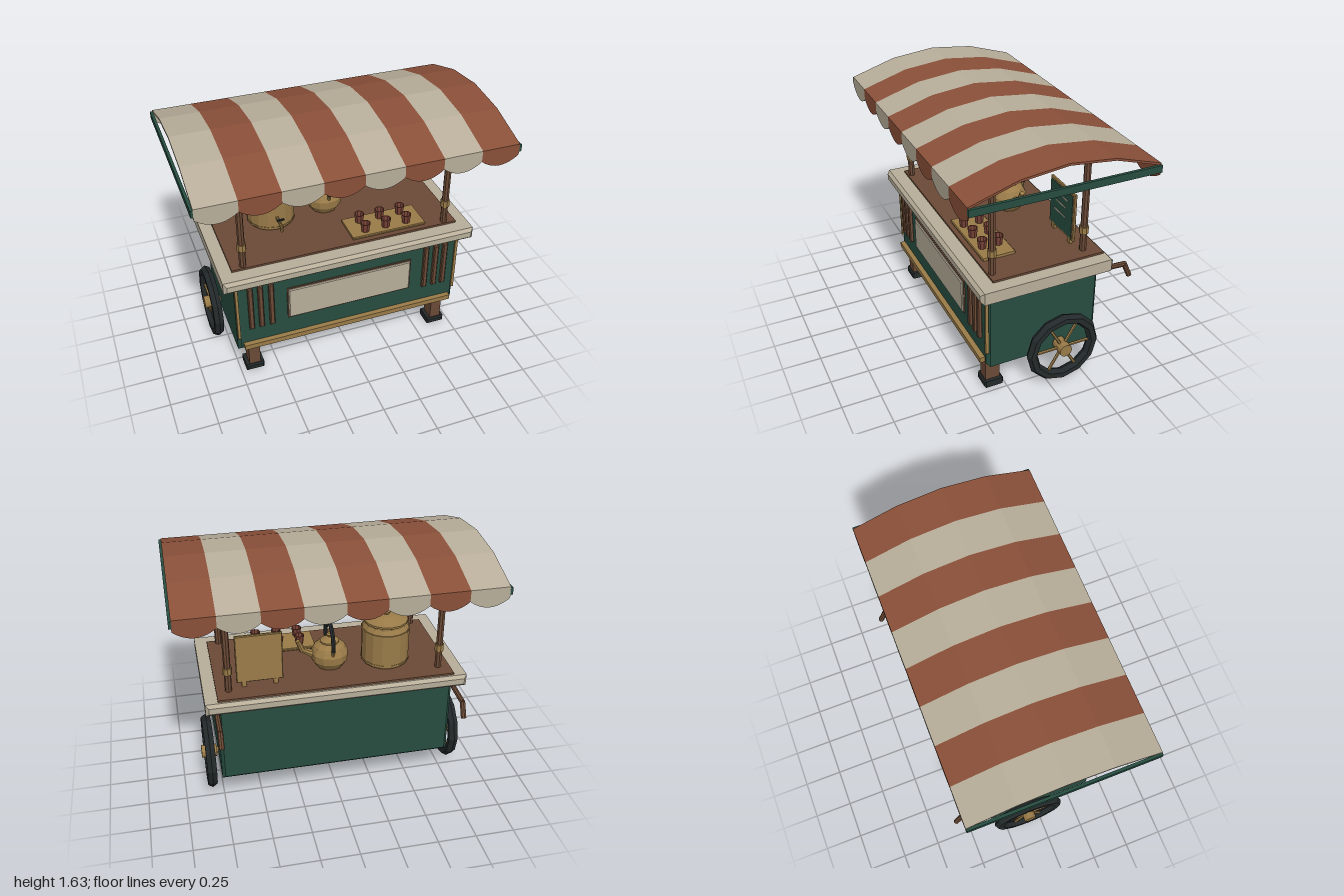
import * as THREE from 'three';

const mat = (color, side = THREE.FrontSide) => new THREE.MeshStandardMaterial({ color, flatShading: true, side });
const GREEN = mat(0x274d41), CREAM = mat(0xb8ae9a), RED = mat(0x8a5039), WOOD = mat(0x6b4a36);
const BRASS = mat(0x9a7b48), BLACK = mat(0x23292a), CUP = mat(0x7a4438, THREE.DoubleSide);

export function createModel() {
  const cart = new THREE.Group();
  cart.name = 'teaCart';

  const add = (name, geo, material, x = 0, y = 0, z = 0, parent = cart) => {
    const m = new THREE.Mesh(geo, material);
    m.name = name;
    m.position.set(x, y, z);
    parent.add(m);
    return m;
  };
  const group = (name, x, y, z) => {
    const g = new THREE.Group();
    g.name = name;
    g.position.set(x, y, z);
    cart.add(g);
    return g;
  };
  const box = (w, h, d) => new THREE.BoxGeometry(w, h, d);
  const cyl = (rt, rb, h, n = 8) => new THREE.CylinderGeometry(rt, rb, h, n);
  const lathe = (pts, n) => new THREE.LatheGeometry(pts.map(p => new THREE.Vector2(...p)), n);
  // Box with single chamfered edges, centred on the origin
  const bevelBox = (w, h, d, b) => {
    const x = w / 2 - b, y = h / 2 - b;
    const s = new THREE.Shape([[-x, -y], [x, -y], [x, y], [-x, y]].map(p => new THREE.Vector2(...p)));
    return new THREE.ExtrudeGeometry(s, { depth: d - 2 * b, bevelThickness: b, bevelSize: b, bevelSegments: 1 })
      .translate(0, 0, b - d / 2);
  };
  // Straight rod between two points
  const rod = (name, a, b, ra, rb, material, parent = cart, n = 8) => {
    const A = new THREE.Vector3(...a), B = new THREE.Vector3(...b);
    const dir = B.clone().sub(A);
    const m = add(name, cyl(rb, ra, dir.length(), n), material, 0, 0, 0, parent);
    m.position.copy(A).add(B).multiplyScalar(0.5);
    m.quaternion.setFromUnitVectors(new THREE.Vector3(0, 1, 0), dir.normalize());
    return m;
  };

  // Body and counter
  add('body', bevelBox(1.52, 0.56, 0.75, 0.02), GREEN, 0, 0.485, 0.015);
  add('counter', bevelBox(1.67, 0.08, 0.88, 0.02), CREAM, 0, 0.783, 0.018);
  add('counterInlay', box(1.51, 0.016, 0.74), WOOD, 0, 0.828, -0.02);

  // Front decoration
  add('frontPanelFrame', box(0.85, 0.24, 0.02), WOOD, 0, 0.515, 0.388);
  add('frontPanel', bevelBox(0.835, 0.225, 0.03, 0.006), CREAM, 0, 0.515, 0.394);
  add('bottomTrim', box(1.45, 0.035, 0.04), BRASS, 0, 0.247, 0.404);
  for (const s of [-1, 1]) {
    for (const x of [0.53, 0.6, 0.665]) add('slat', bevelBox(0.032, 0.325, 0.03, 0.006), WOOD, s * x, 0.547, 0.4);
    add('cornerTrim', box(0.018, 0.41, 0.02), BRASS, s * 0.75, 0.52, 0.39);
  }

  for (const s of [-1, 1]) {
    // Front legs and feet
    add('leg', box(0.075, 0.18, 0.095), WOOD, s * 0.655, 0.13, 0.325);
    add('foot', bevelBox(0.12, 0.047, 0.13, 0.01), BLACK, s * 0.655, 0.0235, 0.322);

    // Push handles
    rod('handle', [s * 0.765, 0.72, -0.33], [s * 0.765, 0.71, -0.545], 0.017, 0.017, WOOD);
    rod('handleGrip', [s * 0.765, 0.716, -0.54], [s * 0.765, 0.617, -0.585], 0.018, 0.018, WOOD);

    // Wheels
    const wheel = group('wheel', s * 0.822, 0.252, -0.095);
    add('tyre', new THREE.TorusGeometry(0.212, 0.035, 6, 12).rotateY(Math.PI / 2), BLACK, 0, 0, 0, wheel);
    add('hub', cyl(0.042, 0.042, 0.1, 12).rotateZ(Math.PI / 2), BRASS, 0, 0, 0, wheel);
    add('axle', cyl(0.025, 0.025, 0.1).rotateZ(Math.PI / 2), BRASS, -s * 0.06, 0, 0, wheel);
    for (let i = 0; i < 6; i++) {
      const a = i * Math.PI / 3;
      rod('spoke', [0, 0, 0], [0, 0.2 * Math.sin(a), 0.2 * Math.cos(a)], 0.01, 0.01, BRASS, wheel, 6);
    }

    // Awning posts with brass collars
    for (const z of [0.322, -0.288]) {
      add('post', cyl(0.022, 0.022, 0.7), WOOD, s * 0.678, 1.18, z);
      add('postCap', cyl(0.024, 0.024, 0.03), WOOD, s * 0.678, 1.517, z);
      add('postCollar', cyl(0.03, 0.03, 0.046), BRASS, s * 0.678, 0.98, z);
    }

    // Awning side rails
    add('sideRail', box(0.018, 0.045, 1.17), GREEN, s * 0.991, 1.478, 0.015);
  }

  // Striped awning: faceted arch with scalloped valances at front and back
  const STRIPES = 8, W = 1.97 / STRIPES, T = 0.014;
  const arch = [[-0.585, 1.508], [-0.29, 1.6], [0, 1.632], [0.29, 1.6], [0.585, 1.508]];
  const archShape = new THREE.Shape([...arch, ...arch.map(([z, y]) => [z, y - T]).reverse()]
    .map(p => new THREE.Vector2(...p)));
  const archGeo = new THREE.ExtrudeGeometry(archShape, { depth: W, bevelEnabled: false })
    .translate(0, 0, -W / 2).rotateY(Math.PI / 2);
  const scallop = new THREE.Shape();
  scallop.moveTo(W / 2, 1.506);
  scallop.lineTo(-W / 2, 1.506);
  scallop.lineTo(-W / 2, 1.435);
  scallop.quadraticCurveTo(0, 1.337, W / 2, 1.435);
  const scallopGeo = new THREE.ExtrudeGeometry(scallop, { depth: 0.01, bevelEnabled: false, curveSegments: 10 })
    .translate(0, 0, -0.005);
  for (let i = 0; i < STRIPES; i++) {
    const x = (i - (STRIPES - 1) / 2) * W, m = i % 2 ? RED : CREAM;
    add('awningStripe', archGeo, m, x, 0, 0.015);
    for (const z of [0.595, -0.565]) add('valance', scallopGeo, m, x, 0, z);
  }

  // Urn with lid and tap
  const urn = group('urn', -0.37, 0.836, -0.108);
  add('urnBody', lathe([[0, 0], [0.148, 0], [0.155, 0.012], [0.155, 0.235], [0.135, 0.27], [0.135, 0.28],
    [0.143, 0.285], [0.143, 0.298], [0.06, 0.325], [0.022, 0.33], [0.028, 0.345], [0.02, 0.355], [0, 0.355]], 16), BRASS, 0, 0, 0, urn);
  for (const y of [0.02, 0.235]) add('urnBand', cyl(0.158, 0.158, 0.012, 16), BRASS, 0, y, 0, urn);
  rod('tap', [0, 0.096, 0.14], [0, 0.096, 0.255], 0.011, 0.011, BRASS, urn);
  rod('tapSpout', [0, 0.1, 0.247], [0, 0.055, 0.252], 0.012, 0.01, BRASS, urn);
  rod('tapStem', [0, 0.096, 0.232], [0, 0.128, 0.232], 0.006, 0.006, BRASS, urn);
  add('tapHandle', box(0.05, 0.01, 0.012), BLACK, 0, 0.131, 0.232, urn);

  // Kettle with spout and arched handle
  const kettle = group('kettle', 0, 0.836, -0.108);
  add('kettleBody', lathe([[0, 0], [0.085, 0], [0.118, 0.05], [0.122, 0.1], [0.098, 0.145], [0.062, 0.17],
    [0.062, 0.18], [0.025, 0.2], [0.012, 0.205], [0.02, 0.22], [0.012, 0.233], [0, 0.235]], 12), BRASS, 0, 0, 0, kettle);
  rod('spout', [0.09, 0.08, 0], [0.182, 0.128, 0], 0.03, 0.018, BRASS, kettle);
  rod('spoutTip', [0.176, 0.12, 0], [0.207, 0.195, 0], 0.02, 0.016, BRASS, kettle);
  add('kettleHandle', new THREE.TorusGeometry(0.118, 0.014, 6, 12, Math.PI * 1.16)
    .rotateZ(-Math.PI * 0.08).rotateY(Math.PI / 2), BLACK, 0, 0.184, 0, kettle);
  for (const s of [-1, 1]) rod('handleLug', [0, 0.11, s * 0.1], [0, 0.16, s * 0.114], 0.012, 0.01, BRASS, kettle);

  // Tray with six cups
  add('tray', bevelBox(0.5, 0.018, 0.22, 0.005), BRASS, 0.297, 0.846, 0.212);
  const cupGeo = lathe([[0, 0], [0.025, 0], [0.034, 0.062], [0.028, 0.062], [0.021, 0.012], [0, 0.012]], 8);
  for (const x of [0.147, 0.288, 0.43]) for (const z of [0.272, 0.165]) add('cup', cupGeo, CUP, x, 0.856, z);

  // Menu board
  const board = group('menuBoard', 0.476, 1.03, -0.255);
  add('boardFrame', bevelBox(0.294, 0.326, 0.022, 0.005), BRASS, 0, 0, 0, board);
  add('boardFace', box(0.264, 0.294, 0.01), GREEN, 0, 0, 0.009, board);
  [[0, 0.09, 0.16], [0, 0.032, 0.12], [-0.01, -0.035, 0.14]].forEach(([x, y, w]) =>
    add('chalkLine', box(w, 0.008, 0.004), CREAM, x, y, 0.015, board));
  for (const s of [-1, 1]) add('boardFoot', box(0.03, 0.04, 0.02), BRASS, s * 0.1, -0.176, 0, board);

  return cart;
}
